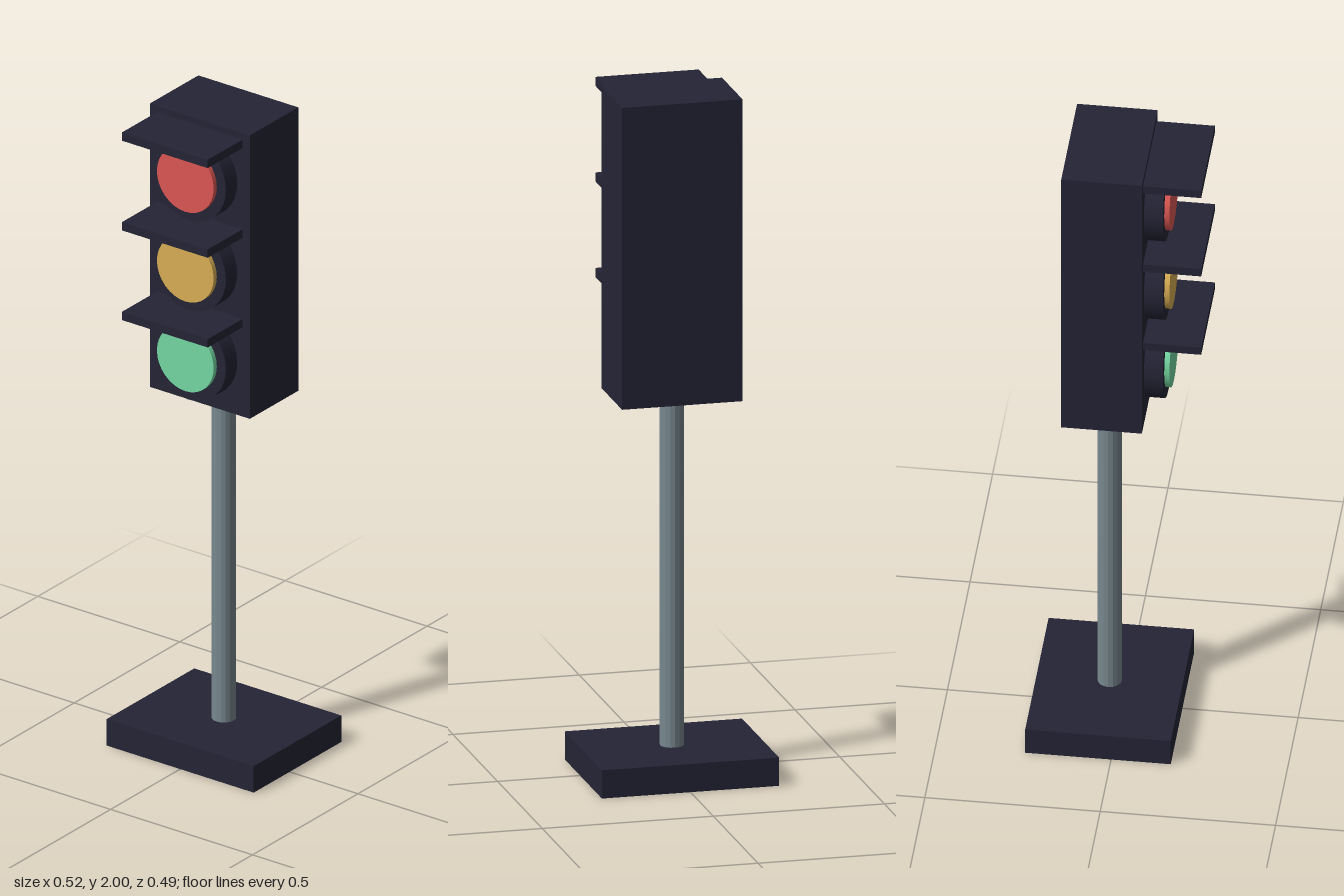
import * as THREE from 'three';

function material(name, color, flatShading = false) {
  const m = new THREE.MeshStandardMaterial({ color, flatShading });
  m.name = name;
  return m;
}

export function createModel() {
  const model = new THREE.Group();
  model.name = 'trafficLight';

  const dark = material('darkHousing', 0x242436);
  const steel = material('steelGrey', 0x78888f, true);
  const red = material('signalRed', 0xdc5753);
  const amber = material('signalAmber', 0xd9ae54);
  const green = material('signalGreen', 0x75d9a3);

  function add(parent, name, geometry, mat, x, y, z) {
    const mesh = new THREE.Mesh(geometry, mat);
    mesh.name = name;
    mesh.position.set(x, y, z);
    parent.add(mesh);
    return mesh;
  }

  // Box given by its width and its y and z extents, centred on x
  function slab(parent, name, width, y0, y1, z0, z1) {
    const geometry = new THREE.BoxGeometry(width, y1 - y0, z1 - z0);
    return add(parent, name, geometry, dark, 0, (y0 + y1) / 2, (z0 + z1) / 2);
  }

  // Disc facing the front, spanning z0 to z1
  function disc(parent, name, radius, y, z0, z1, mat) {
    const geometry = new THREE.CylinderGeometry(radius, radius, z1 - z0, 32);
    geometry.rotateX(Math.PI / 2);
    return add(parent, name, geometry, mat, 0, y, (z0 + z1) / 2);
  }

  // Stand and signal housing
  slab(model, 'base', 0.518, 0, 0.083, -0.245, 0.17);
  add(model, 'pole', new THREE.CylinderGeometry(0.035, 0.035, 1.06, 16), steel, 0, 0.6, -0.037);
  slab(model, 'housing', 0.352, 1.112, 2, -0.153, 0.077);

  // Three lamps, each with a bezel, a lens and a flat visor
  const lamps = [['red', red], ['amber', amber], ['green', green]];
  lamps.forEach(([name, mat], i) => {
    const lamp = new THREE.Group();
    lamp.name = name + 'Lamp';
    lamp.position.y = 1.837 - i * 0.281;
    disc(lamp, 'bezel', 0.132, 0, 0.06, 0.131, dark);
    disc(lamp, 'lens', 0.1, 0, 0.12, 0.146, mat);
    slab(lamp, 'visor', 0.302, 0.117, 0.143, 0.07, 0.243);
    model.add(lamp);
  });

  return model;
}
